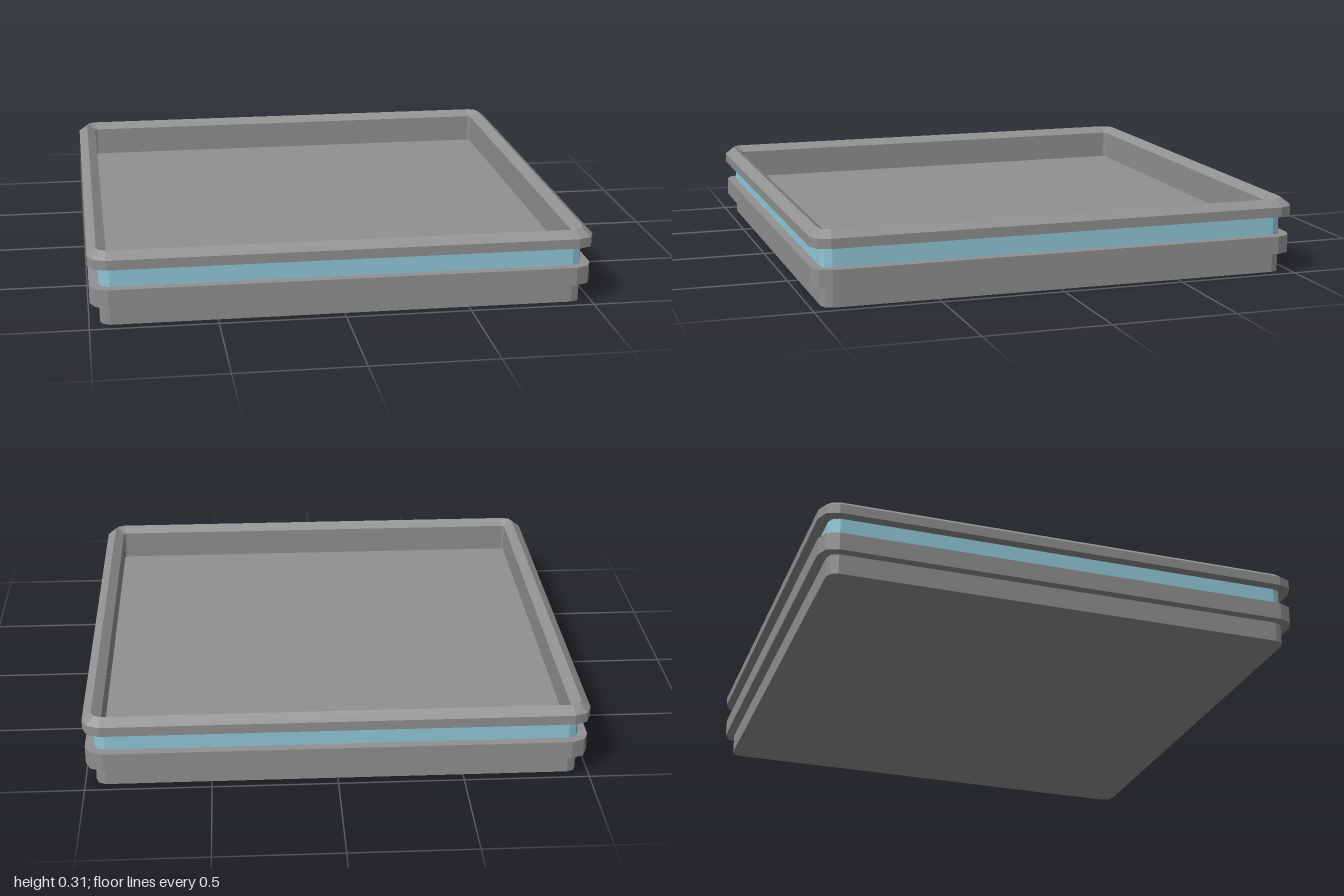
import * as THREE from 'three';

const grey = new THREE.MeshStandardMaterial({ color: 0x919191 });
grey.name = 'grey';
const blue = new THREE.MeshStandardMaterial({ color: 0x93cadc });
blue.name = 'paleBlue';

// Square outline with two-facet rounded corners, at one height
function ring([half, radius, y]) {
  const points = [];
  for (let corner = 0; corner < 4; corner++) {
    const mid = Math.PI / 4 + corner * Math.PI / 2;
    const cx = Math.sign(Math.cos(mid)) * (half - radius);
    const cz = -Math.sign(Math.sin(mid)) * (half - radius);
    for (let s = 0; s <= 2; s++) {
      const a = (corner + s / 2) * Math.PI / 2;
      points.push(new THREE.Vector3(cx + Math.cos(a) * radius, y, cz - Math.sin(a) * radius));
    }
  }
  return points;
}

// Joins successive outlines [half width, corner radius, y] with flat faces
function loft(name, material, profile) {
  const rings = profile.map(ring);
  const positions = [];
  const addTriangle = (a, b, c) => {
    if (new THREE.Triangle(a, b, c).getArea() < 1e-9) return;
    for (const p of [a, b, c]) positions.push(p.x, p.y, p.z);
  };
  for (let k = 0; k < rings.length - 1; k++) {
    const low = rings[k], high = rings[k + 1], n = low.length;
    for (let i = 0; i < n; i++) {
      const j = (i + 1) % n;
      addTriangle(low[i], low[j], high[j]);
      addTriangle(low[i], high[j], high[i]);
    }
  }
  const geometry = new THREE.BufferGeometry();
  geometry.setAttribute('position', new THREE.Float32BufferAttribute(positions, 3));
  geometry.computeVertexNormals();
  const mesh = new THREE.Mesh(geometry, material);
  mesh.name = name;
  return mesh;
}

export function createModel() {
  const model = new THREE.Group();
  model.name = 'squareTray';
  model.add(
    // Closed foot
    loft('base', grey, [[0, 0, 0], [0.957, 0.04, 0], [0.957, 0.04, 0.083]]),
    // Projecting band around the middle
    loft('middleBand', grey, [
      [0.957, 0.04, 0.083], [0.995, 0.07, 0.083], [0.995, 0.07, 0.156], [0.957, 0.04, 0.156],
    ]),
    // Recessed coloured strip
    loft('blueStrip', blue, [[0.957, 0.04, 0.156], [0.957, 0.04, 0.238]]),
    // Rim bevelled to a ridge, with the inner wall below it
    loft('rim', grey, [
      [0.957, 0.04, 0.238], [1, 0.07, 0.238], [1, 0.07, 0.277],
      [0.963, 0.04, 0.306], [0.925, 0.01, 0.28], [0.925, 0.01, 0.16],
    ]),
    // Sunken floor
    loft('floor', grey, [[0.925, 0.01, 0.16], [0, 0, 0.16]]),
  );
  return model;
}
